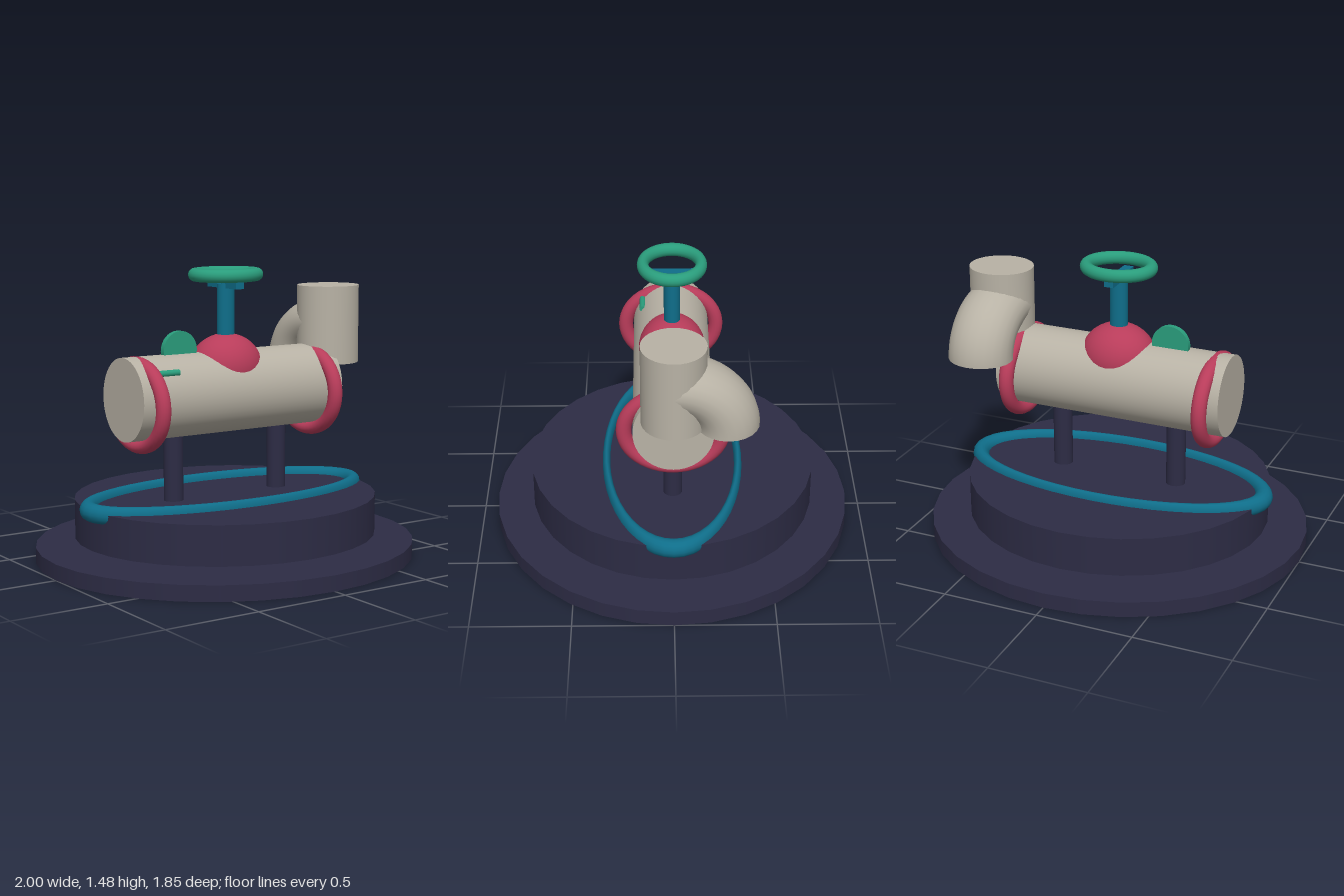
import * as THREE from 'three';

const mat = (name, color) => {
  const m = new THREE.MeshStandardMaterial({ color });
  m.name = name;
  return m;
};

export function createModel() {
  const model = new THREE.Group();
  const navy = mat('navy', 0x2d2c45);
  const teal = mat('teal', 0x0f6e8a);
  const green = mat('green', 0x2a9d7c);
  const red = mat('red', 0xb83c5a);
  const stone = mat('stone', 0xb8b2a5);

  const add = (name, geometry, material, x, y, z) => {
    const mesh = new THREE.Mesh(geometry, material);
    mesh.name = name;
    mesh.position.set(x, y, z);
    model.add(mesh);
    return mesh;
  };
  // Upright elliptical cylinder between two heights
  const column = (name, material, x, rx, rz, y0, y1) =>
    add(name, new THREE.CylinderGeometry(1, 1, y1 - y0, 32).scale(rx, 1, rz), material, x, (y0 + y1) / 2, 0);

  // Stepped base and support posts
  column('basePlate', navy, 0, 1, 0.925, 0, 0.08);
  column('pedestal', navy, 0, 0.795, 0.737, 0.118, 0.32);
  for (const x of [-0.32, 0.32]) column('supportPost', navy, x, 0.05, 0.048, 0.04, 0.75);

  // Oval ring lying on the pedestal
  add('ovalRing', new THREE.TorusGeometry(0.794, 0.047, 16, 48).rotateX(Math.PI / 2).scale(1, 1, 0.435),
    teal, 0, 0.312, 0);

  // Horizontal main pipe
  add('mainPipe', new THREE.CylinderGeometry(1, 1, 1.215, 48).rotateZ(Math.PI / 2).scale(1, 0.21, 0.197),
    stone, -0.002, 0.855, 0);

  // Flange rings, set slightly below the pipe axis
  for (const x of [-0.527, 0.524]) {
    add('flangeRing', new THREE.TorusGeometry(0.241, 0.038, 16, 48).rotateY(Math.PI / 2).scale(1, 0.87, 1),
      red, x, 0.824, 0);
  }

  // Bonnet, stem and handwheel
  add('bonnet', new THREE.SphereGeometry(1, 32, 20).scale(0.195, 0.17, 0.168), red, 0, 0.982, 0);
  column('stem', teal, 0, 0.046, 0.041, 1.05, 1.406);
  add('wheelSpoke', new THREE.BoxGeometry(0.05, 0.034, 0.256), teal, 0, 1.4, 0);
  add('handwheel', new THREE.TorusGeometry(0.166, 0.033, 16, 48).rotateX(Math.PI / 2).scale(1, 1, 0.87),
    green, 0, 1.451, 0);

  // Gauge disc and small side lever
  add('gaugeDisc', new THREE.CylinderGeometry(0.098, 0.098, 0.03, 32).rotateX(Math.PI / 2), green, -0.284, 1.082, 0);
  add('sideLever', new THREE.CylinderGeometry(0.016, 0.016, 0.125, 16).rotateZ(Math.PI / 2), green, -0.443, 0.993, 0.15);

  // Upright outlet with a quarter bend turning down at the back
  column('outlet', stone, 0.657, 0.168, 0.157, 0.96, 1.371);
  add('outletElbow', new THREE.TorusGeometry(0.255, 0.153, 24, 20, Math.PI / 2).rotateY(Math.PI / 2).scale(1.1, 0.87, 1),
    stone, 0.657, 0.953, 0);

  return model;
}
